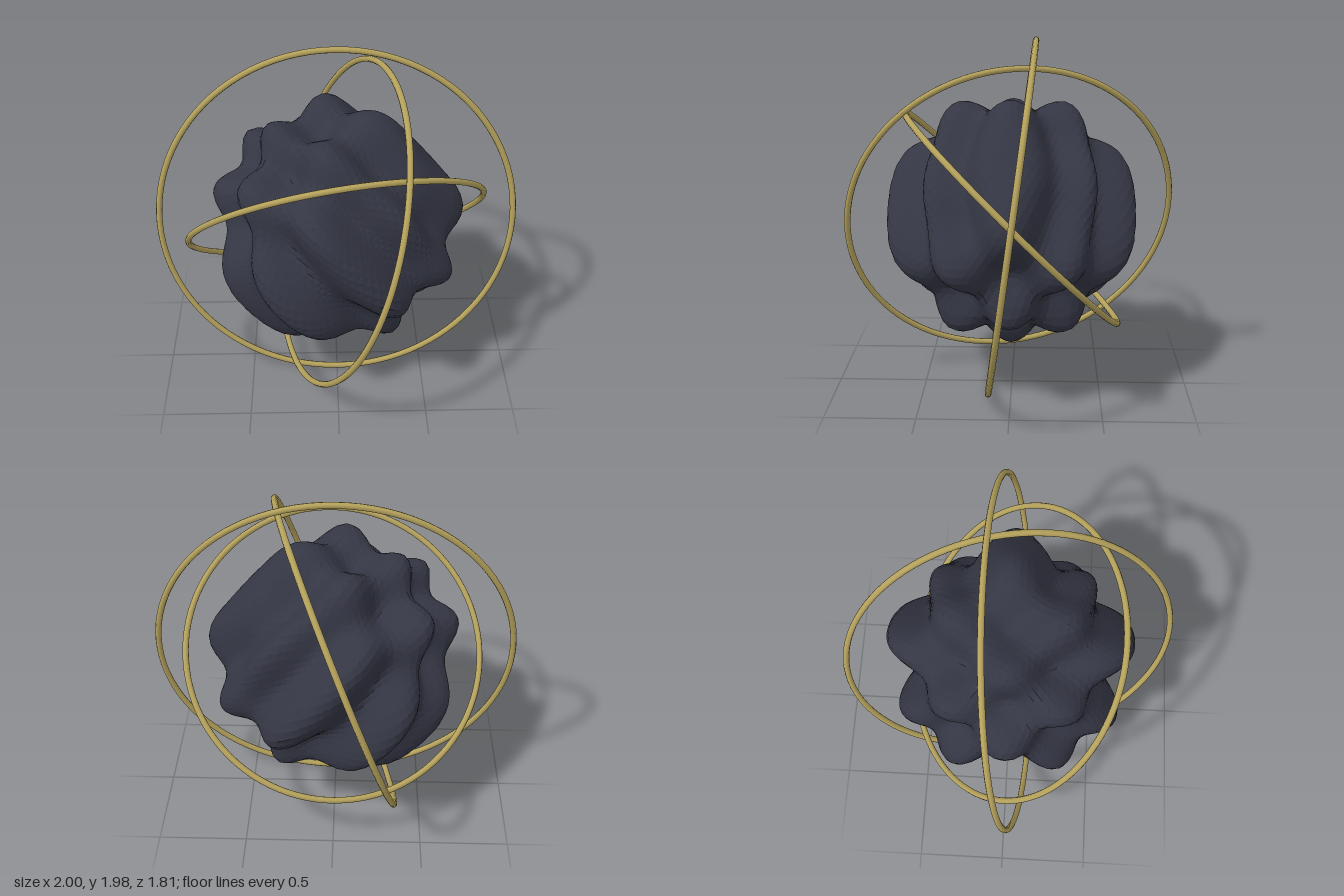
import * as THREE from 'three';

const CENTER_Y = 1;

// Sphere whose radius swells and sinks in a wave pattern of ridges and knobs
function rippledCore() {
  const geometry = new THREE.IcosahedronGeometry(1, 17);
  const p = geometry.attributes.position;
  const d = new THREE.Vector3();
  for (let i = 0; i < p.count; i++) {
    d.fromBufferAttribute(p, i).normalize();
    const wave = Math.sin(7 * d.x + 6 * d.y) * Math.cos(7 * d.z);
    d.multiplyScalar(0.615 + 0.092 * wave);
    p.setXYZ(i, d.x, d.y, d.z);
  }
  geometry.computeVertexNormals();
  const material = new THREE.MeshStandardMaterial({ color: 0x343644, flatShading: true });
  const mesh = new THREE.Mesh(geometry, material);
  mesh.name = 'rippledCore';
  return mesh;
}

// Thin hoop around the centre, lying in the plane with the given normal
function hoop(name, radius, normal, material) {
  const mesh = new THREE.Mesh(new THREE.TorusGeometry(radius, 0.017, 8, 96), material);
  mesh.name = name;
  mesh.quaternion.setFromUnitVectors(
    new THREE.Vector3(0, 0, 1),
    new THREE.Vector3(...normal).normalize()
  );
  return mesh;
}

export function createModel() {
  const group = new THREE.Group();
  group.name = 'ringedOrb';
  const gold = new THREE.MeshStandardMaterial({ color: 0xb5a25c });

  group.add(
    rippledCore(),
    hoop('outerRing', 0.983, [0, 0.131, 0.991], gold),
    hoop('middleRing', 0.906, [0.925, -0.32, -0.2], gold),
    hoop('innerRing', 0.826, [-0.15, 0.7, -0.7], gold)
  );
  for (const part of group.children) part.position.y = CENTER_Y - 0.008;
  return group;
}
